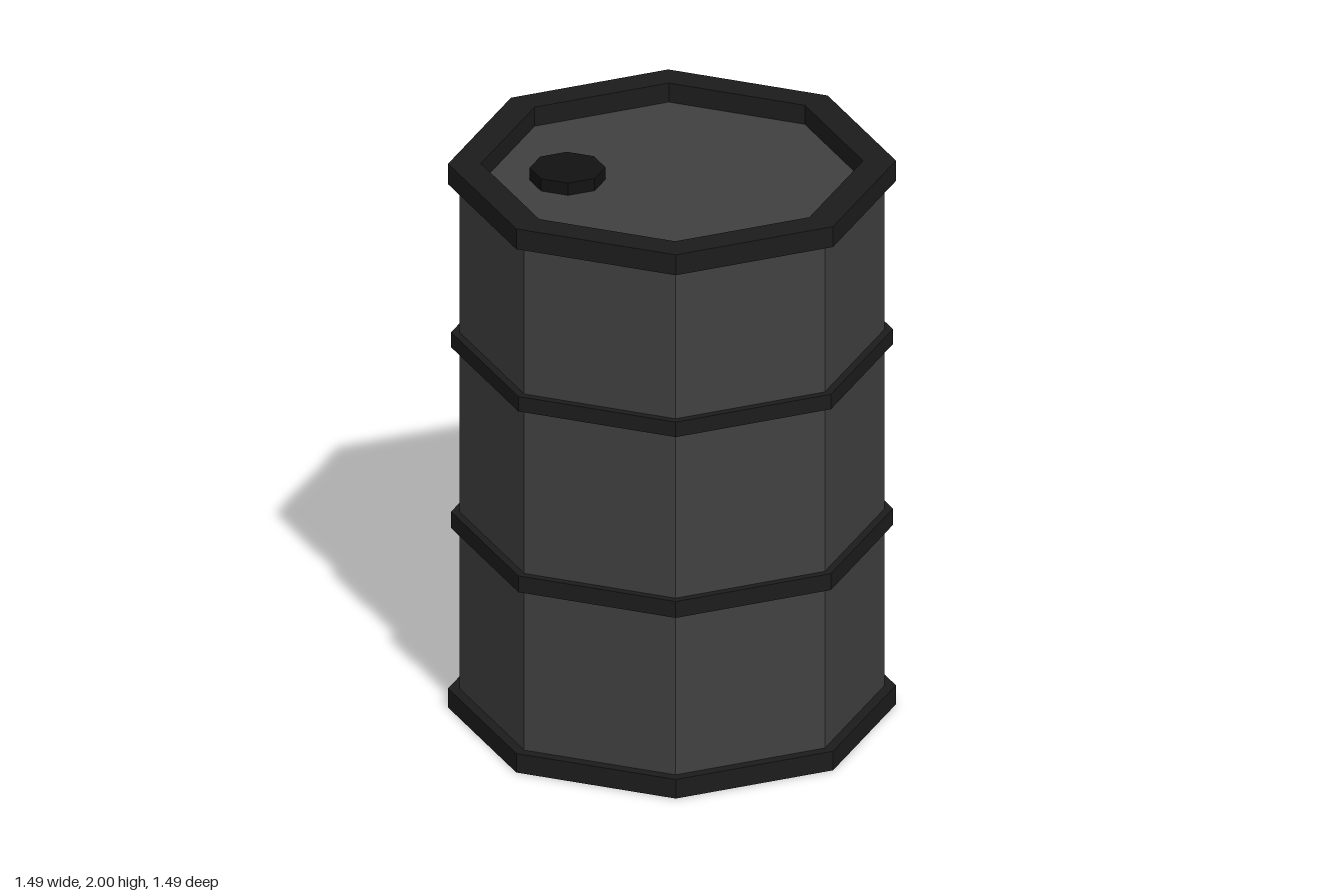
import * as THREE from 'three';

const SIDES = 8;
const TURN = 0.085; // slight twist of the octagon about y

const mat = (color) => new THREE.MeshStandardMaterial({ color, flatShading: true });

export function createModel() {
  const group = new THREE.Group();
  const bodyMat = mat(0x404040);
  const hoopMat = mat(0x1c1c1c);
  const capMat = mat(0x121212);

  // Octagonal prism between two heights
  const prism = (name, radius, y0, y1, material, x = 0, z = 0, open = false) => {
    const geo = new THREE.CylinderGeometry(radius, radius, y1 - y0, SIDES, 1, open, TURN);
    const mesh = new THREE.Mesh(geo, material);
    mesh.name = name;
    mesh.position.set(x, (y0 + y1) / 2, z);
    group.add(mesh);
  };

  // Barrel wall; its top cap is the recessed lid
  prism('body', 0.712, 0.03, 1.93, bodyMat);

  // Base and the two hoops around the wall
  prism('baseRim', 0.75, 0, 0.07, hoopMat);
  prism('lowerHoop', 0.74, 0.66, 0.72, hoopMat);
  prism('upperHoop', 0.74, 1.325, 1.38, hoopMat);

  // Raised rim around the lid
  const profile = [[0.64, 1.925], [0.75, 1.925], [0.75, 2], [0.64, 2], [0.64, 1.925]]
    .map(([r, y]) => new THREE.Vector2(r, y));
  const rim = new THREE.Mesh(new THREE.LatheGeometry(profile, SIDES, TURN), hoopMat);
  rim.name = 'topRim';
  group.add(rim);

  // Filler cap on the lid
  prism('fillerCap', 0.127, 1.92, 1.975, capMat, -0.35, 0.012);

  return group;
}
